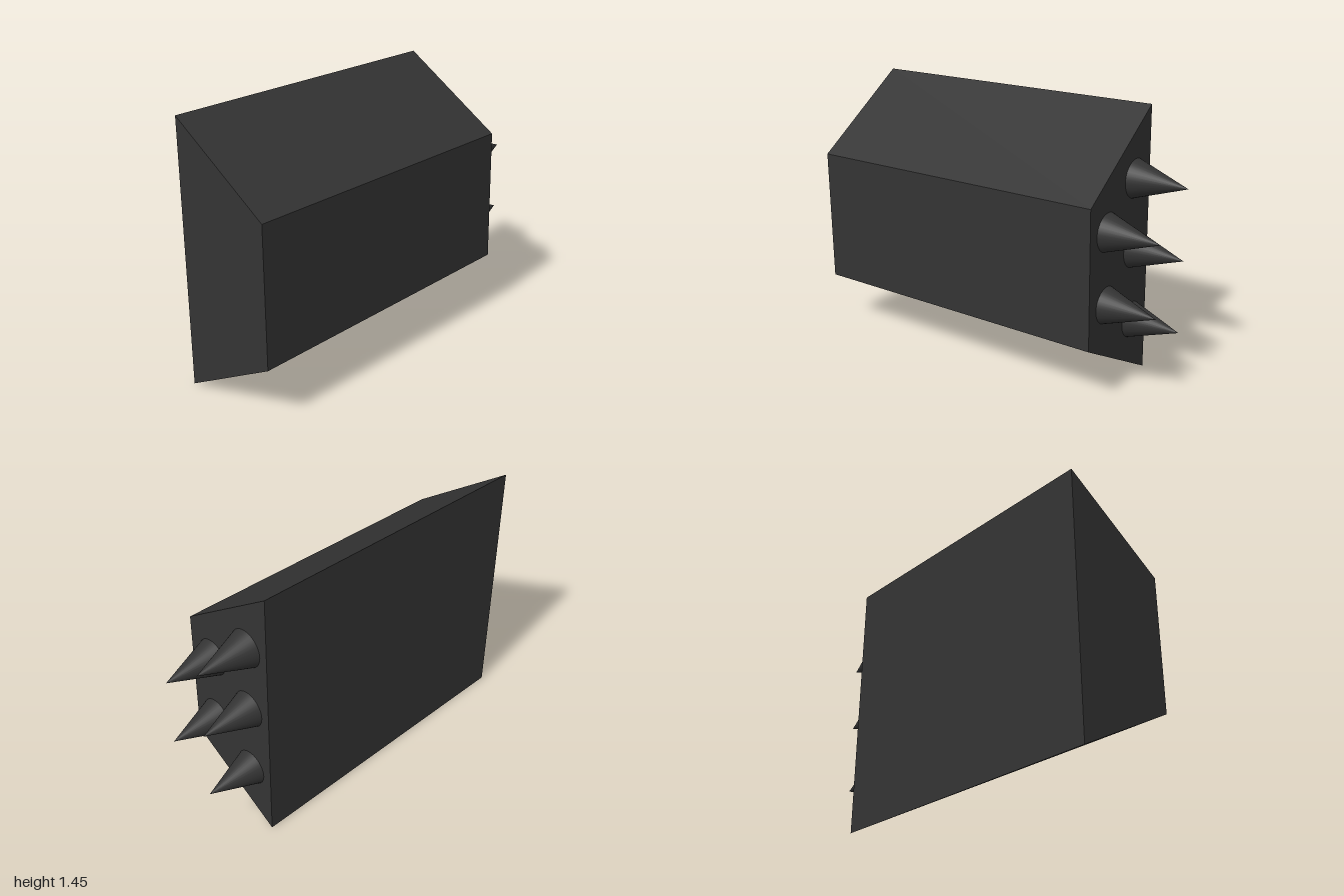
import * as THREE from 'three';

export function createModel() {
  const model = new THREE.Group();
  const dark = new THREE.MeshStandardMaterial({ color: 0x333333 });
  const darkFlat = dark.clone();
  darkFlat.flatShading = true;

  // Slanted block: a box whose eight corners are moved to a trapezoid section
  // that widens slightly towards the back.
  const W = 0.285;
  const blockGeo = new THREE.BoxGeometry(2, 2, 2);
  const p = blockGeo.attributes.position;
  for (let i = 0; i < p.count; i++) {
    const left = p.getX(i) > 0, top = p.getY(i) > 0, front = p.getZ(i) > 0;
    let y;
    if (top) y = (left ? 1.03 : 1.415) + (front ? 0 : 0.033);
    else y = left ? (front ? 0.296 : 0.325) : 0;
    const z = front ? 1 : -0.735 + y * 0.02;
    p.setXYZ(i, left ? W : -W, y, z);
  }
  blockGeo.computeVertexNormals();
  const block = new THREE.Mesh(blockGeo, darkFlat);
  block.name = 'block';
  model.add(block);

  // Spikes on the back face, in two staggered columns
  const spikeGeo = new THREE.ConeGeometry(0.102, 0.29, 32).rotateX(-Math.PI / 2);
  const columns = [
    { x: -0.138, heights: [1.103, 0.73, 0.337] },
    { x: 0.125, heights: [0.9, 0.517] },
  ];
  for (const { x, heights } of columns) {
    for (const y of heights) {
      const spike = new THREE.Mesh(spikeGeo, dark);
      spike.name = 'spike';
      spike.position.set(x, y, -0.855);
      model.add(spike);
    }
  }
  return model;
}
